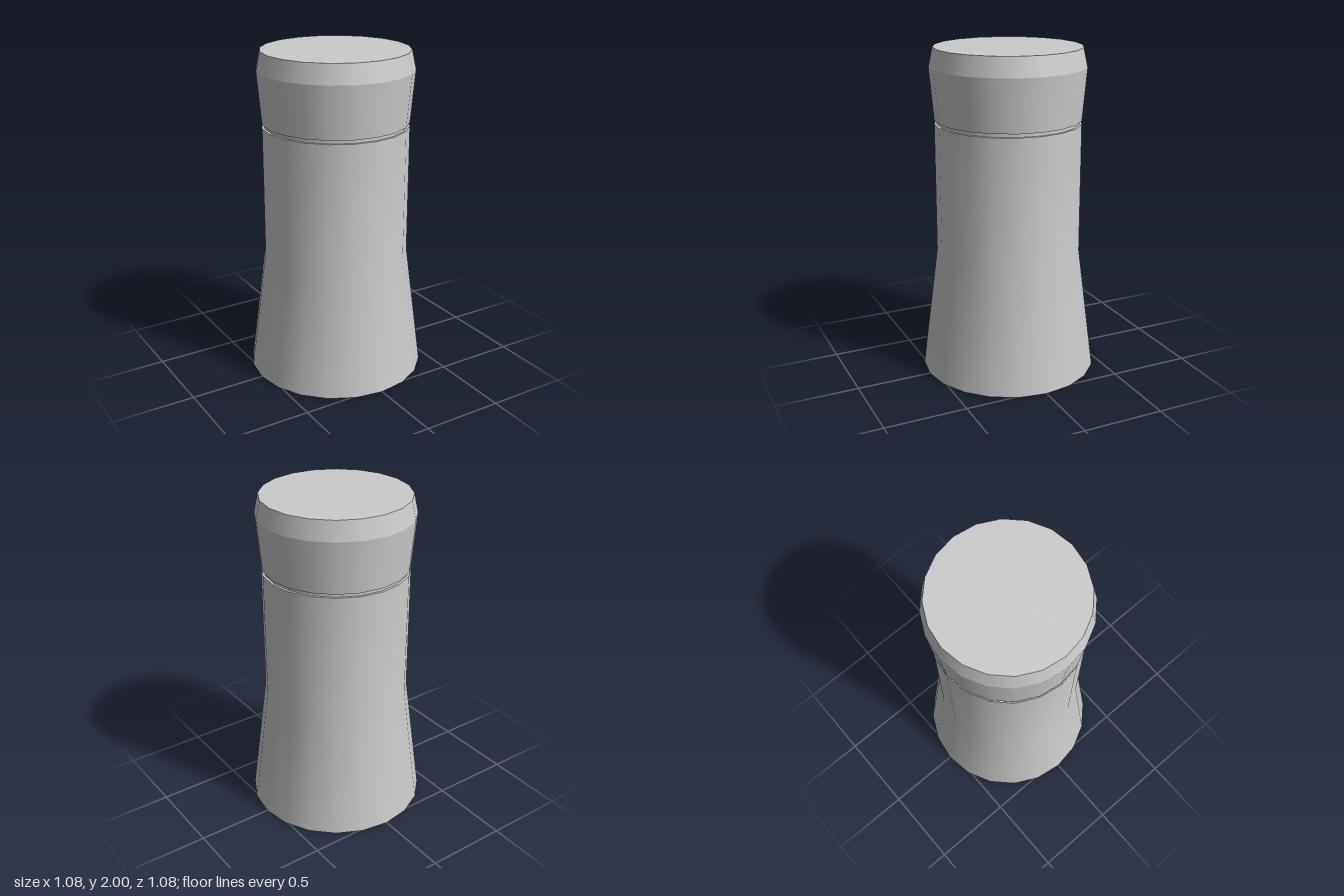
import * as THREE from 'three';

const SIDES = 20;

export function createModel() {
  const model = new THREE.Group();
  const material = new THREE.MeshStandardMaterial({ color: 0xcccccc });

  // Each band is smooth within itself; edges between bands stay sharp.
  // Profiles are [radius, height] pairs running from the bottom upward.
  const addPart = (name, bands) => {
    const part = new THREE.Group();
    part.name = name;
    for (const [bandName, profile] of bands) {
      const points = profile.map(([r, y]) => new THREE.Vector2(r, y));
      const mesh = new THREE.Mesh(new THREE.LatheGeometry(points, SIDES), material);
      mesh.name = bandName;
      part.add(mesh);
    }
    model.add(part);
  };

  // Straight body with a flared foot
  addPart('body', [
    ['base', [[0, 0], [0.54, 0]]],
    ['bodyWall', [[0.54, 0], [0.441, 0.765], [0.441, 1.55]]],
    ['bodyRim', [[0.441, 1.55], [0.427, 1.55]]],
  ]);

  // Narrow recessed groove between body and lid
  addPart('groove', [
    ['grooveWall', [[0.427, 1.55], [0.427, 1.572]]],
  ]);

  // Lid that widens upward, then chamfers in to a flat top
  addPart('lid', [
    ['lidUnderside', [[0.427, 1.572], [0.441, 1.572]]],
    ['lidWall', [[0.441, 1.572], [0.468, 1.885]]],
    ['lidChamfer', [[0.468, 1.885], [0.443, 2]]],
    ['lidTop', [[0.443, 2], [0, 2]]],
  ]);

  return model;
}
